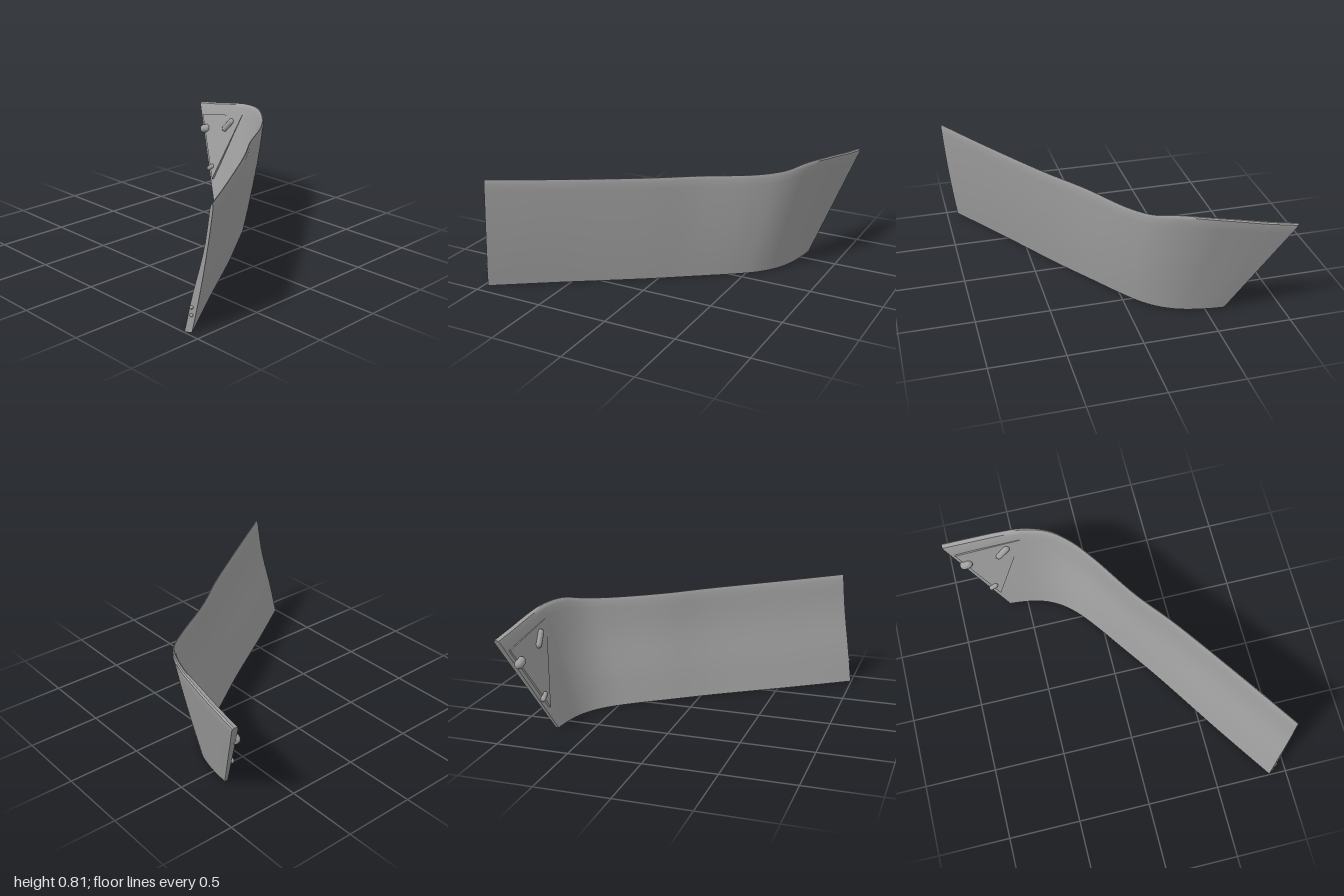
import * as THREE from 'three';
import { toCreasedNormals } from 'three/addons/utils/BufferGeometryUtils.js';
import { ConvexGeometry } from 'three/addons/geometries/ConvexGeometry.js';

const V = (x, y, z) => new THREE.Vector3(x, y, z);
const { lerp, smoothstep } = THREE.MathUtils;

// Outer face edges, matched point for point from the long end to the corner tip
const topEdge = new THREE.CatmullRomCurve3([
  V(-0.875, 0.8, 1), V(-0.5, 0.785, 0.755), V(0, 0.77, 0.415), V(0.27, 0.763, 0.21),
  V(0.6, 0.76, 0), V(0.75, 0.775, -0.12), V(0.85, 0.805, -0.25), V(0.92, 0.8, -0.42),
  V(0.95, 0.775, -0.6), V(0.97, 0.74, -0.8), V(0.985, 0.71, -1),
]);
const bottomEdge = new THREE.CatmullRomCurve3([
  V(-0.97, 0, 0.92), V(-0.58, 0, 0.66), V(-0.06, 0, 0.325), V(0.2, 0, 0.145),
  V(0.45, 0, -0.03), V(0.56, 0, -0.12), V(0.64, 0, -0.215), V(0.695, 0, -0.32),
  V(0.725, 0, -0.42), V(0.745, 0, -0.53), V(0.755, 0, -0.63),
]);

// Thin leaning shell: a closed cross-section swept between the two edges
function shellGeometry() {
  const steps = 100;
  const heights = [0, 0.1, 0.2, 0.3, 0.4, 0.5, 0.6, 0.7, 0.8, 0.9, 0.965, 0.99, 1];
  const J = heights.length, M = J * 2;
  const positions = [], index = [];
  for (let i = 0; i <= steps; i++) {
    const t = i / steps;
    const top = topEdge.getPoint(t), bottom = bottomEdge.getPoint(t);
    const along = topEdge.getTangent(t).add(bottomEdge.getTangent(t));
    const out = V(-along.z, 0, along.x).normalize();
    const corner = smoothstep(t, 0.45, 0.85);
    const outer = [], inner = [];
    heights.forEach((s, j) => {
      const thick = lerp(lerp(0.045, 0.018, smoothstep(s, 0.2, 0.75)), lerp(0.022, 0.045, s), corner);
      const inset = j === J - 1 ? thick * 0.35 : j === J - 2 ? 0.004 : 0;
      const bulge = 0.04 * s * (1 - s) * (1 - corner);
      const p = bottom.clone().lerp(top, s).addScaledVector(out, bulge);
      outer.push(p.clone().addScaledVector(out, -inset));
      inner.unshift(p.addScaledVector(out, inset - thick));
    });
    [...outer, ...inner].forEach((p) => positions.push(p.x, p.y, p.z));
  }
  for (let i = 0; i < steps; i++) {
    for (let j = 0; j < M; j++) {
      const a = i * M + j, b = a + M, k = (j + 1) % M;
      const c = (i + 1) * M + k, d = i * M + k;
      index.push(a, b, c, a, c, d);
    }
  }
  // End caps
  const last = steps * M;
  for (let j = 0; j < J - 1; j++) {
    const q = M - 1 - j;
    index.push(q, j, j + 1, q, j + 1, q - 1);
    index.push(last + q, last + j + 1, last + j, last + q, last + q - 1, last + j + 1);
  }
  const g = new THREE.BufferGeometry();
  g.setAttribute('position', new THREE.Float32BufferAttribute(positions, 3));
  g.setIndex(index);
  return toCreasedNormals(g, 0.6);
}

export function createModel() {
  const model = new THREE.Group();
  const grey = new THREE.MeshStandardMaterial({ color: 0xa0a0a0 });
  grey.name = 'plain grey';
  const add = (name, geometry) => {
    const mesh = new THREE.Mesh(geometry, grey);
    mesh.name = name;
    model.add(mesh);
    return mesh;
  };

  add('curvedPanel', shellGeometry());

  // Flat triangular mounting plate inside the corner
  const tri = [V(0.9, 0.627, -0.93), V(0.87, 0.715, -0.46), V(0.76, 0.167, -0.68)];
  const normal = tri[1].clone().sub(tri[0]).cross(tri[2].clone().sub(tri[0])).normalize();
  if (normal.x > 0) normal.negate();
  const back = tri.map((p) => p.clone().addScaledVector(normal, -0.025));
  add('mountingPlate', new ConvexGeometry([...tri, ...back]));

  // Clips standing on the plate: position, radius, length, tilt
  [
    [V(0.86, 0.53, -0.87), 0.032, 0.03, -1.2],
    [V(0.86, 0.61, -0.6), 0.024, 0.09, -0.7],
    [V(0.79, 0.25, -0.72), 0.018, 0.04, -0.9],
  ].forEach(([p, radius, length, tilt], i) => {
    // Drop each clip onto the plane of the plate
    p.addScaledVector(normal, -p.clone().sub(tri[0]).dot(normal));
    const clip = add('clip' + (i + 1), new THREE.CapsuleGeometry(radius, length, 6, 14));
    clip.position.copy(p);
    clip.lookAt(p.clone().add(normal));
    clip.rotateZ(tilt);
  });

  // Small nubs on the long end
  [0.11, 0.16].forEach((y, i) => {
    const nub = add('endNub' + (i + 1), new THREE.SphereGeometry(0.012, 12, 8));
    nub.position.set(-0.965, y, 0.912);
  });
  return model;
}
